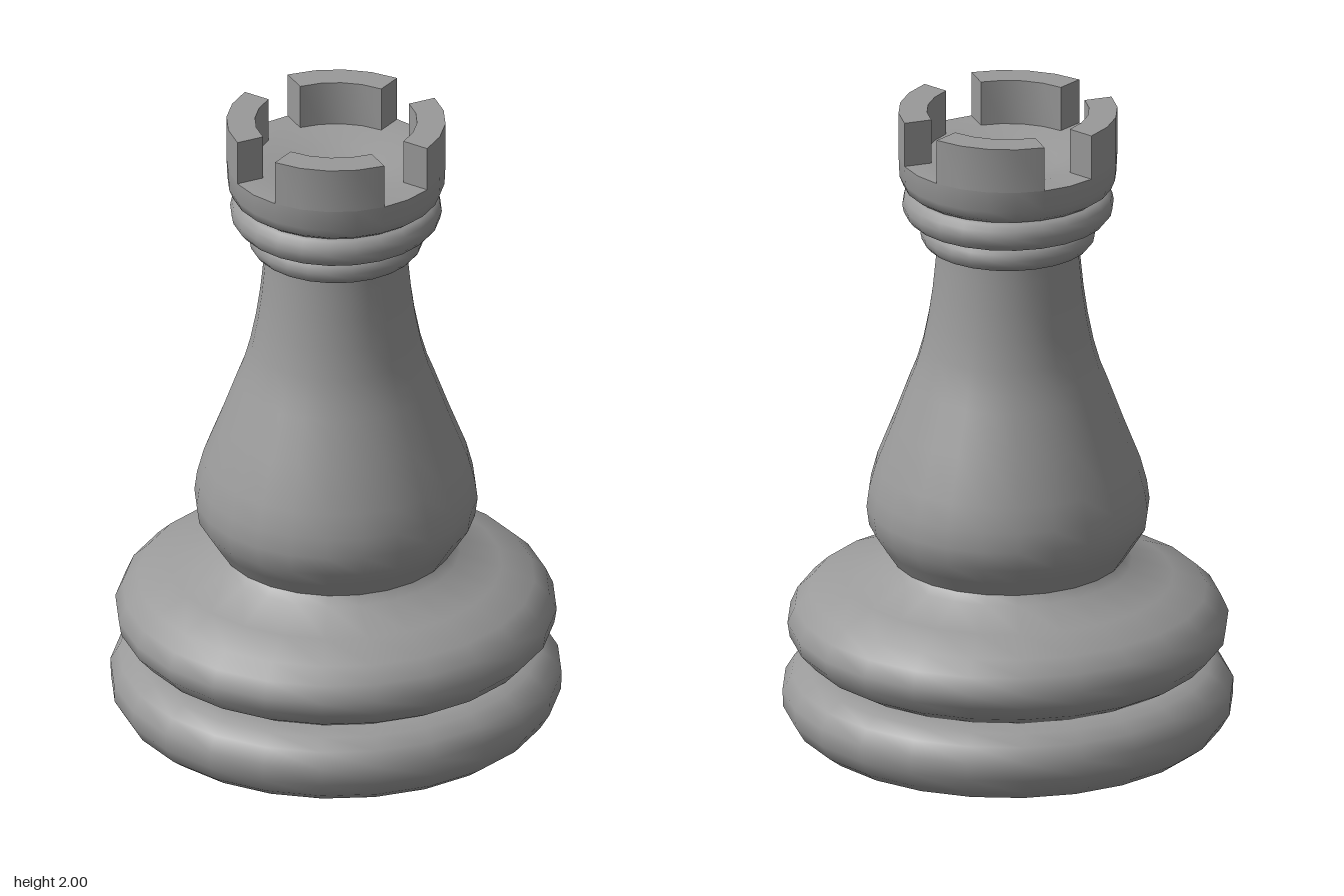
import * as THREE from 'three';
import { toCreasedNormals } from 'three/addons/utils/BufferGeometryUtils.js';

const SIDES = 24;
const material = new THREE.MeshStandardMaterial({ color: 0x9a9a9a });

// Turned part from [radius, height] pairs, bottom to top.
function turned(name, profile) {
  const points = profile.map(([r, y]) => new THREE.Vector2(r, y));
  const geometry = toCreasedNormals(new THREE.LatheGeometry(points, SIDES), 0.75);
  const mesh = new THREE.Mesh(geometry, material);
  mesh.name = name;
  return mesh;
}

// Rounded ring closed towards the axis at top and bottom.
function bead(name, radius, bottom, top, inner) {
  const h = (top - bottom) / 2, mid = (top + bottom) / 2;
  const profile = [[0, bottom], [inner, bottom]];
  for (const a of [-60, -30, 0, 30, 60]) {
    const t = THREE.MathUtils.degToRad(a);
    profile.push([radius - h * 0.8 * (1 - Math.cos(t)), mid + h * Math.sin(t)]);
  }
  profile.push([inner, top], [0, top]);
  return turned(name, profile);
}

// Curved wall block spanning 60 degrees, on the same facets as the collar.
function merlonGeometry(outer, inner, height) {
  const points = [];
  const step = (Math.PI * 2) / SIDES;
  const at = (r, i) => new THREE.Vector2(r * Math.cos(i * step), r * Math.sin(i * step));
  for (let i = 1; i <= 5; i++) points.push(at(outer, i));
  for (let i = 5; i >= 1; i--) points.push(at(inner, i));
  const geometry = new THREE.ExtrudeGeometry(new THREE.Shape(points), { depth: height, bevelEnabled: false });
  geometry.rotateX(-Math.PI / 2);
  return toCreasedNormals(geometry, 0.6);
}

export function createModel() {
  const rook = new THREE.Group();
  rook.name = 'rook';

  // Two stacked foot mouldings
  rook.add(turned('base', [
    [0, 0], [0.57, 0], [0.61, 0.01], [0.65, 0.04], [0.68, 0.09], [0.682, 0.145],
    [0.655, 0.19], [0.615, 0.22], [0.57, 0.23], [0, 0.23],
  ]));
  rook.add(turned('upperBase', [
    [0, 0.23], [0.555, 0.23], [0.615, 0.265], [0.66, 0.315], [0.667, 0.36],
    [0.645, 0.41], [0.6, 0.453], [0.5, 0.495], [0.375, 0.54], [0.352, 0.565], [0, 0.565],
  ]));

  // Flared body
  rook.add(turned('body', [
    [0.352, 0.565], [0.385, 0.615], [0.42, 0.67], [0.428, 0.73], [0.42, 0.79], [0.4, 0.865],
    [0.347, 1.0], [0.299, 1.13], [0.279, 1.18], [0.259, 1.25], [0.241, 1.34],
    [0.228, 1.43], [0.219, 1.52], [0.215, 1.57], [0.21, 1.76],
  ]));

  // Neck rings
  rook.add(bead('lowerNeckRing', 0.265, 1.57, 1.65, 0.225));
  rook.add(bead('upperNeckRing', 0.32, 1.655, 1.75, 0.28));

  // Collar with a shallow dished floor
  rook.add(turned('collar', [
    [0, 1.75], [0.295, 1.75], [0.316, 1.765], [0.328, 1.795], [0.331, 1.86],
    [0.245, 1.86], [0.15, 1.838], [0, 1.825],
  ]));

  // Four battlements with gaps facing front, back and sides
  const geometry = merlonGeometry(0.331, 0.245, 0.14);
  for (let i = 0; i < 4; i++) {
    const merlon = new THREE.Mesh(geometry, material);
    merlon.name = `battlement${i + 1}`;
    merlon.position.y = 1.86;
    merlon.rotation.y = (i * Math.PI) / 2;
    rook.add(merlon);
  }
  return rook;
}
